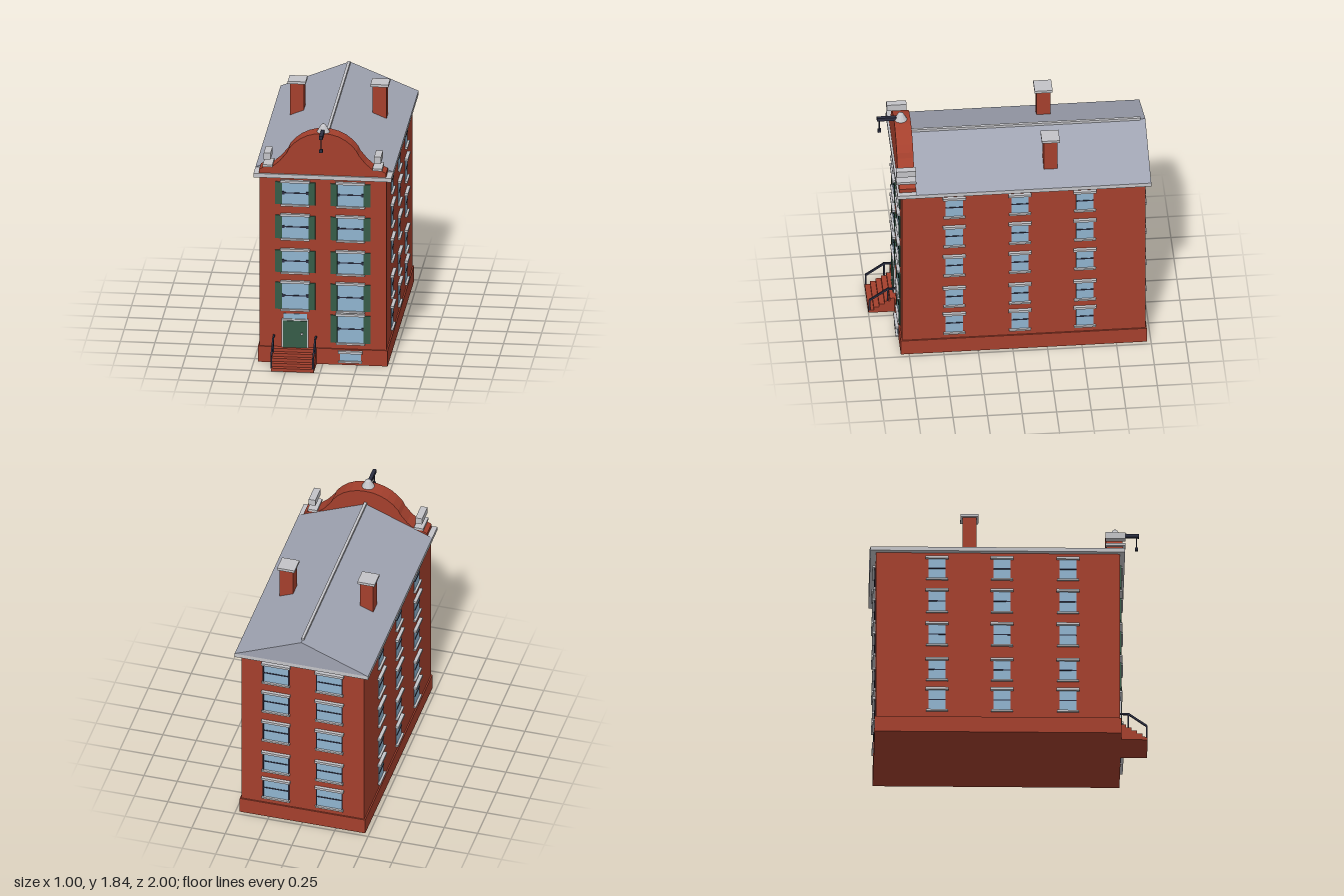
import * as THREE from 'three';

const mat = (name, color, extra = {}) => {
  const m = new THREE.MeshStandardMaterial({ color, ...extra });
  m.name = name;
  return m;
};

export function createModel() {
  const brick = mat('brick', 0xa5402d);
  const stone = mat('stone', 0xc4c4c8);
  const slate = mat('slate', 0xa0a4b2);
  const glass = mat('glass', 0x90b4cf);
  const green = mat('green paint', 0x365c48);
  const iron = mat('dark iron', 0x2c2f42);

  const house = new THREE.Group();
  house.name = 'townHouse';

  // Box given by its minimum and maximum on each axis
  const box = (parent, name, m, x0, x1, y0, y1, z0, z1) => {
    const mesh = new THREE.Mesh(new THREE.BoxGeometry(x1 - x0, y1 - y0, z1 - z0), m);
    mesh.position.set((x0 + x1) / 2, (y0 + y1) / 2, (z0 + z1) / 2);
    mesh.name = name;
    parent.add(mesh);
    return mesh;
  };
  const extrude = (name, m, points, z0, z1) => {
    const shape = new THREE.Shape(points.map(([x, y]) => new THREE.Vector2(x, y)));
    const mesh = new THREE.Mesh(new THREE.ExtrudeGeometry(shape, { depth: z1 - z0, bevelEnabled: false }), m);
    mesh.position.z = z0;
    mesh.name = name;
    house.add(mesh);
  };

  // Walls, plinth and cornice
  box(house, 'walls', brick, -0.46, 0.46, 0.12, 1.43, -0.96, 0.8);
  box(house, 'plinth', brick, -0.47, 0.47, 0, 0.12, -0.97, 0.81);
  box(house, 'cornice', stone, -0.5, 0.5, 1.425, 1.455, -1, 0.835);

  // Pitched roof with ridge cap
  extrude('roof', slate, [[-0.5, 1.455], [0.5, 1.455], [0, 1.66]], -1, 0.7);
  box(house, 'ridgeCap', stone, -0.01, 0.01, 1.65, 1.675, -0.965, 0.71);

  // Curved front gable: half outline, mirrored
  const half = [[0.46, 1.455], [0.46, 1.485], [0.42, 1.505], [0.36, 1.512], [0.31, 1.555], [0.262, 1.615],
    [0.245, 1.65], [0.205, 1.695], [0.16, 1.73], [0.11, 1.755], [0.055, 1.77]];
  const mirrored = half.map(([x, y]) => [-x, y]).reverse();
  extrude('frontGable', brick, [...half, [0, 1.774], ...mirrored], 0.7, 0.82);

  for (const s of [-1, 1]) {
    // Gable shoulder stones
    box(house, 'shoulderSlab', stone, s * 0.398 - 0.035, s * 0.398 + 0.035, 1.508, 1.526, 0.695, 0.838);
    box(house, 'shoulderBlock', stone, s * 0.4 - 0.025, s * 0.4 + 0.025, 1.566, 1.616, 0.695, 0.838);
    // Chimneys
    box(house, 'chimney', brick, s * 0.3 - 0.05, s * 0.3 + 0.05, 1.5, 1.762, -0.335, -0.235);
    box(house, 'chimneyCap', stone, s * 0.3 - 0.065, s * 0.3 + 0.065, 1.76, 1.78, -0.35, -0.22);
  }

  // Finial and hoist
  const finial = new THREE.Mesh(new THREE.LatheGeometry([[0.047, 1.772], [0.02, 1.822], [0, 1.838]]
    .map(([x, y]) => new THREE.Vector2(x, y)), 12).toNonIndexed(),
    mat('finial stone', 0xc4c4c8, { flatShading: true, side: THREE.DoubleSide }));
  finial.name = 'finial';
  finial.position.z = 0.77;
  house.add(finial);
  box(house, 'hoistBeam', iron, -0.013, 0.013, 1.77, 1.797, 0.76, 0.943);
  box(house, 'hoistRope', iron, -0.004, 0.004, 1.685, 1.775, 0.921, 0.929);
  box(house, 'hoistHook', iron, -0.012, 0.012, 1.668, 1.69, 0.913, 0.937);

  // Window in a wall plane facing local +z; y0 and y1 include sill and lintel
  const addWindow = (wall, x, y0, y1, w, style) => {
    const g = new THREE.Group();
    g.name = 'window';
    g.position.x = x;
    wall.add(g);
    const mid = (y0 + y1) / 2, trim = style === 'side' ? 0.021 : 0.012;
    box(g, 'pane', glass, -w, w, y0 + 0.01, y1 - 0.01, -0.004, 0.004);
    box(g, 'lintel', stone, -w - trim, w + trim, y1 - 0.018, y1, -0.01, 0.024);
    box(g, 'sill', stone, -w - trim * 0.8, w + trim * 0.8, y0, y0 + 0.013, -0.01, 0.02);
    if (style !== 'basement') box(g, 'crossBar', iron, -w, w, mid - 0.004, mid + 0.004, 0, 0.008);
    for (const s of [-1, 1]) {
      if (style === 'shutters') {
        box(g, 'shutter', green, s * (w + 0.025) - 0.025, s * (w + 0.025) + 0.025, y0 + 0.012, y1 - 0.015, -0.004, 0.01);
        box(g, 'shutterCatch', iron, s * (w - 0.008) - 0.008, s * (w - 0.008) + 0.008, mid - 0.011, mid + 0.011, 0, 0.009);
      }
      if (style === 'back') {
        box(g, 'jamb', iron, s * w - 0.004, s * w + 0.004, y0 + 0.012, y1 - 0.015, -0.004, 0.01);
      }
    }
  };
  const wallPlane = (name, x, z, turn) => {
    const g = new THREE.Group();
    g.name = name;
    g.position.set(x, 0, z);
    g.rotation.y = turn;
    house.add(g);
    return g;
  };

  // Front windows, with the basement light under the right-hand column
  const front = wallPlane('frontWindows', 0, 0.8, 0);
  const frontRows = [[0.155, 0.393], [0.4, 0.631], [0.684, 0.878], [0.942, 1.146], [1.204, 1.403]];
  frontRows.forEach(([a, b], i) => {
    if (i > 0) addWindow(front, -0.2, a, b, 0.095, 'shutters');
    addWindow(front, 0.2, a, b, 0.095, 'shutters');
  });
  const basement = wallPlane('basementWindow', 0, 0.81, 0);
  addWindow(basement, 0.2, 0.02, 0.11, 0.076, 'basement');

  // Side and back windows
  const rows = [[0.163, 0.35], [0.405, 0.587], [0.683, 0.87], [0.946, 1.136], [1.208, 1.393]];
  const back = wallPlane('backWindows', 0, -0.96, Math.PI);
  const right = wallPlane('leftWindows', 0.46, 0, Math.PI / 2);
  const left = wallPlane('rightWindows', -0.46, 0, -Math.PI / 2);
  for (const [a, b] of rows) {
    for (const x of [-0.2, 0.2]) addWindow(back, x, a, b, 0.095, 'back');
    for (const z of [0.423, -0.053, -0.522]) {
      addWindow(right, -z, a, b, 0.062, 'side');
      addWindow(left, z, a, b, 0.062, 'side');
    }
  }

  // Front door
  box(house, 'doorFrame', stone, -0.298, -0.104, 0.12, 0.337, 0.79, 0.812);
  box(house, 'door', green, -0.288, -0.113, 0.12, 0.325, 0.8, 0.817);
  box(house, 'transom', glass, -0.285, -0.115, 0.337, 0.376, 0.796, 0.804);
  box(house, 'doorKnob', stone, -0.158, -0.142, 0.22, 0.236, 0.815, 0.828);

  // Front steps
  for (let i = 0; i < 5; i++) {
    box(house, 'step', brick, -0.355, -0.045, 0, 0.024 * (i + 1), 0.8, 1 - 0.039 * i);
  }

  // Railings
  for (const x of [-0.354, -0.05]) {
    const a = x - 0.006, b = x + 0.006;
    box(house, 'lowerPost', iron, a, b, 0.02, 0.112, 0.986, 0.998);
    box(house, 'upperPost', iron, a, b, 0.1, 0.208, 0.854, 0.866);
    box(house, 'topRail', iron, a, b, 0.197, 0.211, 0.8, 0.866);
    const dy = 0.094, dz = 0.132, len = Math.hypot(dy, dz);
    const rail = box(house, 'slopedRail', iron, a, b, 0, 0.014, 0, len);
    rail.position.set(x, 0.157, 0.926);
    rail.rotation.x = Math.atan2(dy, dz);
  }
  return house;
}
